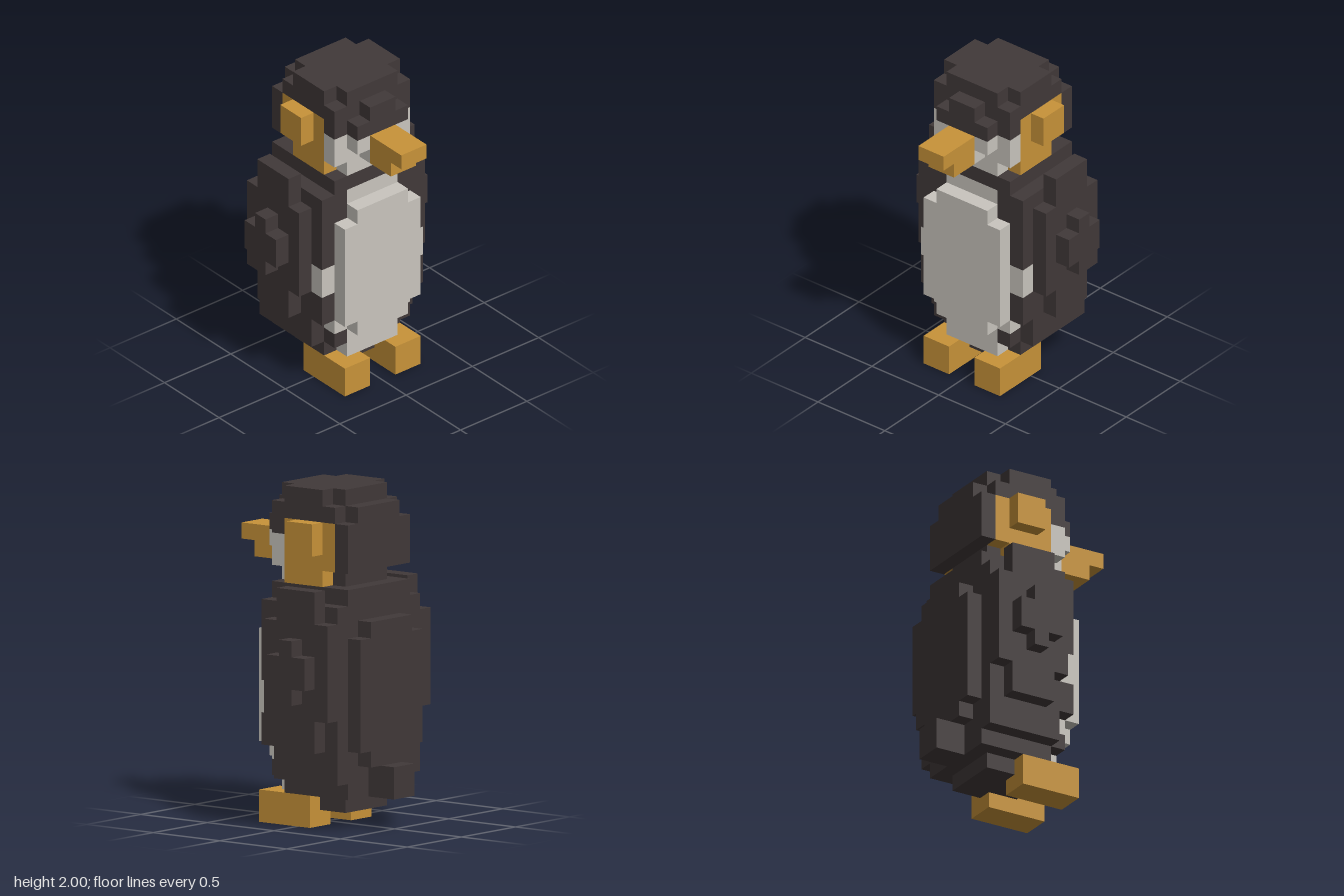
import * as THREE from 'three';

// One block of the grid; all part sizes below are counted in blocks.
const U = 2 / 21;

const black = new THREE.MeshStandardMaterial({ color: 0x413939 });
black.name = 'charcoal feathers';
const white = new THREE.MeshStandardMaterial({ color: 0xc9c5be });
white.name = 'pale feathers';
const orange = new THREE.MeshStandardMaterial({ color: 0xc89339 });
orange.name = 'orange';

export function createModel() {
  const model = new THREE.Group();
  model.name = 'penguin';

  // Makes a named part out of boxes given as [x0, x1, y0, y1, z0, z1].
  function part(name, material, boxes) {
    const group = new THREE.Group();
    group.name = name;
    for (const [x0, x1, y0, y1, z0, z1] of boxes) {
      const geometry = new THREE.BoxGeometry((x1 - x0) * U, (y1 - y0) * U, (z1 - z0) * U);
      const mesh = new THREE.Mesh(geometry, material);
      mesh.name = name;
      mesh.position.set((x0 + x1) / 2 * U, (y0 + y1) / 2 * U, (z0 + z1) / 2 * U);
      group.add(mesh);
    }
    model.add(group);
  }

  // Box centred on x = 0 with half width w.
  const mid = (w, ...rest) => [-w, w, ...rest];

  // Makes a left part and its mirrored right twin.
  function pair(name, material, boxes) {
    part('left' + name, material, boxes);
    part('right' + name, material, boxes.map(([x0, x1, ...rest]) => [-x1, -x0, ...rest]));
  }

  // Body
  part('body', black, [
    mid(2, 1, 2, -3, 1),
    mid(3, 2, 3, -4, 1),
    mid(4, 3, 14, -4, 1),
  ]);
  part('neck', black, [mid(3, 14, 15, -4, 2)]);
  part('back', black, [mid(3, 5, 12, -5, -4), mid(2, 4, 13, -5, -4)]);
  part('tail', black, [mid(1, 2, 4, -6, -4)]);

  // Pale chest and the dark feathers framing it
  part('chest', white, [
    mid(2, 2, 4, 1, 2),
    mid(3, 4, 12, 1, 2),
    mid(2, 12, 14, 1, 2),
  ]);
  part('belly', white, [mid(3, 5, 12, 2, 3), mid(2, 4, 13, 2, 3)]);
  pair('BellyPatch', white, [[3, 4, 7, 9, 1, 2]]);
  pair('ChestFrame', black, [
    [2, 3, 3, 4, 1, 2],
    [3, 4, 5, 7, 1, 2],
    [3, 4, 9, 12, 1, 2],
    [2, 4, 12, 14, 1, 2],
  ]);

  // Wings
  pair('Wing', black, [
    [4, 5, 5, 7, -3, 0],
    [4, 5, 7, 13, -4, 1],
    [4, 5, 13, 15, -3, 0],
    [5, 6, 9, 11, -3, 0],
    [5, 6, 8, 12, -2, -1],
  ]);

  // Feet
  pair('Foot', orange, [[1, 3, 0, 2, -1, 3]]);

  // Head
  part('cheeks', orange, [mid(3, 15, 16, -2, 1), mid(3, 16, 19, -3, 1)]);
  pair('CheekTuft', orange, [[3, 4, 17, 19, -2, 0]]);
  part('face', white, [
    mid(2, 15, 16, 1, 2),
    mid(3, 16, 18, 1, 2),
    mid(1, 16, 17, 2, 3),
    mid(2, 17, 18, 2, 3),
  ]);
  part('nape', black, [
    mid(2, 15, 16, -3, -2),
    mid(3, 16, 19, -4, -3),
    mid(2, 19, 20, -4, -3),
  ]);
  part('crown', black, [
    mid(3, 19, 20, -3, 1),
    mid(3, 18, 20, 1, 2),
    mid(3, 20, 21, -2, 1),
    mid(2, 20, 21, -3, -2),
    mid(2, 20, 21, 1, 2),
  ]);
  part('brow', black, [mid(2, 18, 19, 2, 3), mid(1, 19, 20, 2, 3)]);

  // Beak
  part('beak', orange, [mid(1, 16, 17, 3, 5), mid(1, 17, 18, 3, 6)]);

  return model;
}
